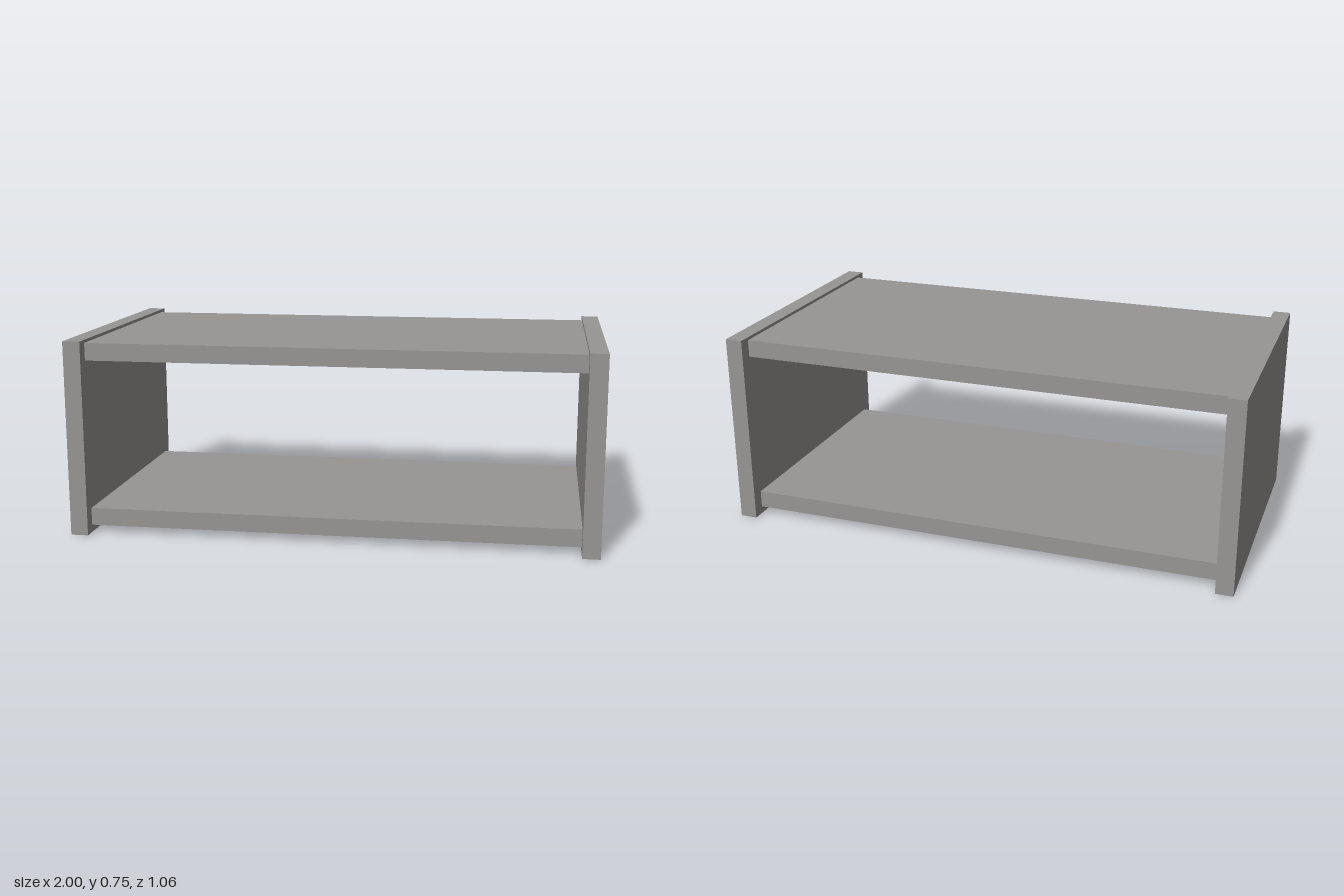
import * as THREE from 'three';

export function createModel() {
  const model = new THREE.Group();
  model.name = 'openShelfUnit';

  const grey = new THREE.MeshStandardMaterial({ color: 0x989694 });
  grey.name = 'warm grey';

  const height = 0.75, thickness = 0.067;

  function addBoard(name, size, position) {
    const board = new THREE.Mesh(new THREE.BoxGeometry(...size), grey);
    board.name = name;
    board.position.set(...position);
    model.add(board);
  }

  // Upright side panels, slightly taller and deeper than the shelves
  for (const [name, side] of [['leftPanel', 1], ['rightPanel', -1]]) {
    addBoard(name, [thickness, height, 1.06], [side * (1 - thickness / 2), height / 2, 0]);
  }

  // Horizontal shelves spanning between the panels
  for (const [name, y] of [['bottomShelf', 0.062], ['topShelf', 0.705]]) {
    addBoard(name, [2 - 2 * thickness, thickness, 0.963], [0, y, 0]);
  }

  return model;
}
